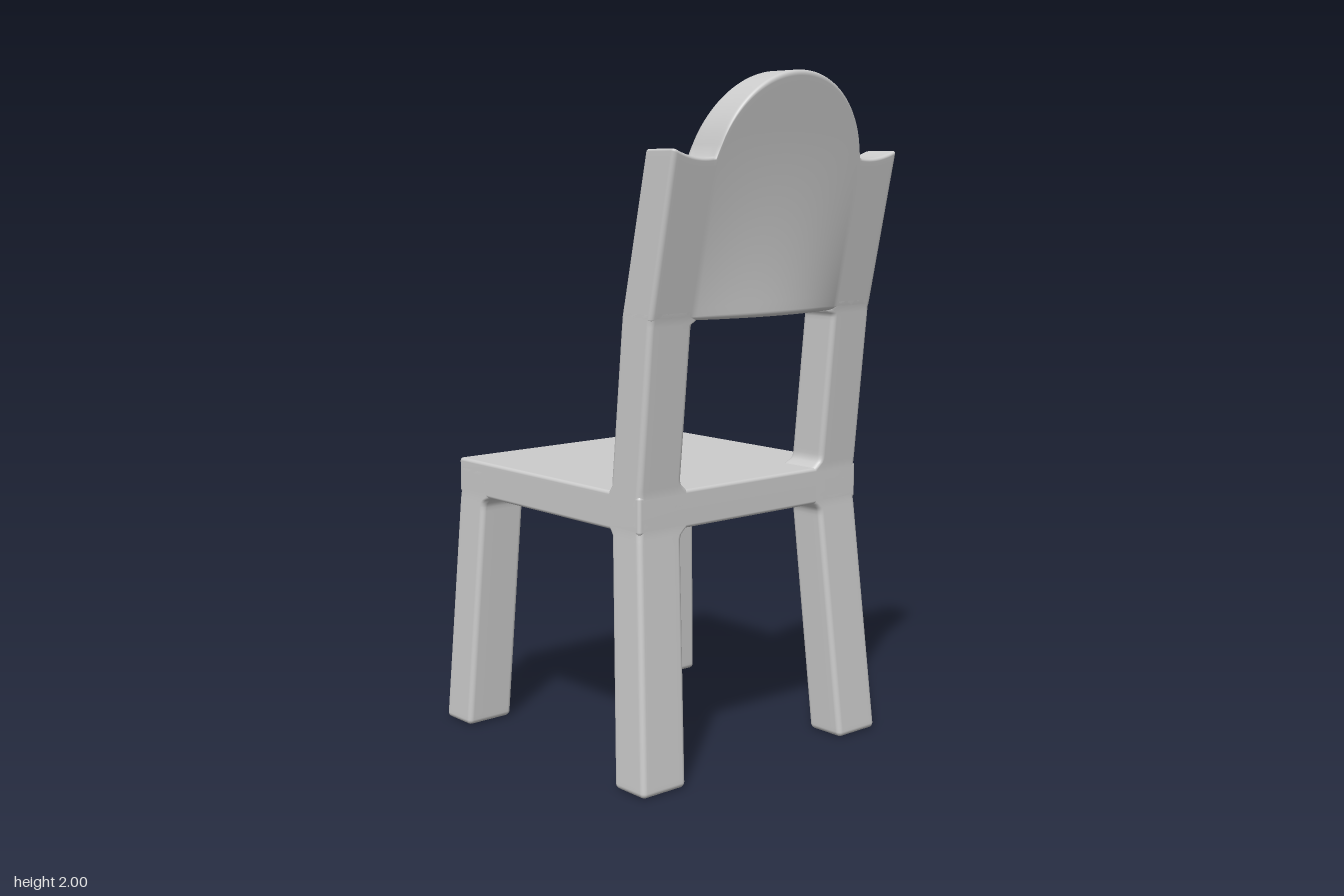
import * as THREE from 'three';
import { mergeVertices } from 'three/addons/utils/BufferGeometryUtils.js';

const SEAT_LOW = 0.73, SEAT_TOP = 0.84, PANEL_LOW = 1.32;
const HALF_WIDTH = 0.435, ROUND = 0.014;
const { lerp, clamp } = THREE.MathUtils;

const material = new THREE.MeshStandardMaterial({ color: 0xcccccc });

// Straight-line interpolation through [y, value] knots
function profile(knots) {
  return (y) => {
    let i = 1;
    while (i < knots.length - 1 && y > knots[i][0]) i++;
    const [ya, a] = knots[i - 1], [yb, b] = knots[i];
    return lerp(a, b, (y - ya) / (yb - ya));
  };
}

// Concave fillet: how far a surface flares out at a distance from the joint
function flare(distance, r) {
  const d = Math.max(0, distance);
  return d < r ? r - Math.sqrt(r * r - (r - d) ** 2) : 0;
}

// Box with rounded edges and a fine grid, each vertex then moved by a rule
function softBox(name, size, segments, r, rule) {
  const k = 3;
  const geometry = new THREE.BoxGeometry(1, 1, 1, ...segments);
  geometry.deleteAttribute('normal');
  geometry.deleteAttribute('uv');
  const pos = geometry.attributes.position;
  const v = new THREE.Vector3(), inner = new THREE.Vector3(), half = new THREE.Vector3(...size).multiplyScalar(0.5);
  const place = (t, n, h) => {
    const i = Math.round((t + 0.5) * n), j = Math.min(i, n - i);
    if (j >= k) return lerp(r - h, h - r, (i - k) / (n - 2 * k));
    return (i < k ? -1 : 1) * (h - r + r * Math.tan(((k - j) / k) * Math.PI / 4));
  };
  for (let i = 0; i < pos.count; i++) {
    v.fromBufferAttribute(pos, i);
    v.set(place(v.x, segments[0], half.x), place(v.y, segments[1], half.y), place(v.z, segments[2], half.z));
    inner.set(
      clamp(v.x, r - half.x, half.x - r),
      clamp(v.y, r - half.y, half.y - r),
      clamp(v.z, r - half.z, half.z - r)
    );
    v.sub(inner).normalize().multiplyScalar(r).add(inner);
    rule(v);
    pos.setXYZ(i, v.x, v.y, v.z);
  }
  const merged = mergeVertices(geometry, 1e-5);
  merged.computeVertexNormals();
  const mesh = new THREE.Mesh(merged, material);
  mesh.name = name;
  return mesh;
}

// Outlines of the legs and back posts by height
const outerX = profile([[0, 0.475], [0.73, HALF_WIDTH], [2, HALF_WIDTH]]);
const innerX = profile([[0, 0.315], [0.7, 0.28], [2, 0.28]]);
const postFront = profile([[0, 0.295], [0.7, 0.24], [0.86, 0.236], [1.32, 0.283], [1.79, 0.39], [2, 0.438]]);
const postRear = profile([[0, 0.425], [0.73, 0.362], [0.84, 0.362], [1.32, 0.41], [1.79, 0.51], [2, 0.555]]);
const legOuterZ = profile([[0, -0.55], [0.8, -0.51], [2, -0.51]]);
const legInnerZ = profile([[0, -0.42], [0.7, -0.385], [2, -0.385]]);

// Distance from the seat slab, above or below
const fromSeat = (y) => Math.max(SEAT_LOW - y, y - SEAT_TOP);

function createLeg(name, side, height, ny, zLow, zHigh) {
  const w = 0.16, d = 0.13;
  return softBox(name, [w, height, d], [10, ny, 10], 0.016, (v) => {
    const y = v.y + height / 2;
    let fillet = flare(fromSeat(y), 0.035);
    if (y > 1 && y < PANEL_LOW + 0.005) fillet = flare(PANEL_LOW - y, 0.02);
    v.x = side * lerp(innerX(y) - fillet, outerX(y), (side * v.x) / w + 0.5);
    v.z = lerp(zLow(y), zHigh(y), v.z / d + 0.5);
    v.y = y;
  });
}

// Top outline of the back: round arch between two slightly dished post ends
function backTop(x) {
  const R = 0.282, a = Math.abs(x);
  const arch = a < R ? 2 - R + Math.sqrt(R * R - a * a) : 0;
  return Math.max(arch, 1.762 + 2 * (a - 0.32) ** 2);
}

// Hollow of the back panel, deepest at its lower edge
function hollow(x, y) {
  const across = Math.max(0, 1 - (x / 0.28) ** 2);
  return 0.05 * across * clamp((1.85 - y) / 0.53, 0, 1) ** 2;
}

export function createModel() {
  const chair = new THREE.Group();
  chair.name = 'chair';

  // Seat slab
  chair.add(softBox('seat', [2 * HALF_WIDTH, SEAT_TOP - SEAT_LOW, 0.872], [12, 8, 12], 0.01, (v) => {
    v.y += (SEAT_LOW + SEAT_TOP) / 2;
    v.z -= 0.074;
  }));

  // Splayed front legs, and rear legs that continue up as the back posts
  for (const side of [1, -1]) {
    const label = side > 0 ? 'left' : 'right';
    const frontLeg = (y) => legInnerZ(y) + flare(fromSeat(y), 0.035);
    const rearPost = (y) => postFront(y) - flare(fromSeat(y), 0.02);
    chair.add(createLeg(label + 'SeatEndLeg', side, 0.825, 70, legOuterZ, frontLeg));
    chair.add(createLeg(label + 'BackLegAndPost', side, 1.36, 120, rearPost, postRear));
  }

  // Arched, hollowed back panel with the post tops
  const h = 0.6, d = 0.13;
  chair.add(softBox('backPanel', [2 * HALF_WIDTH, h, d], [90, 30, 10], ROUND, (v) => {
    const y = lerp(PANEL_LOW, backTop(v.x), v.y / h + 0.5);
    v.z = lerp(postFront(y), postRear(y), v.z / d + 0.5) + hollow(v.x, y);
    v.y = y;
  }));

  return chair;
}
